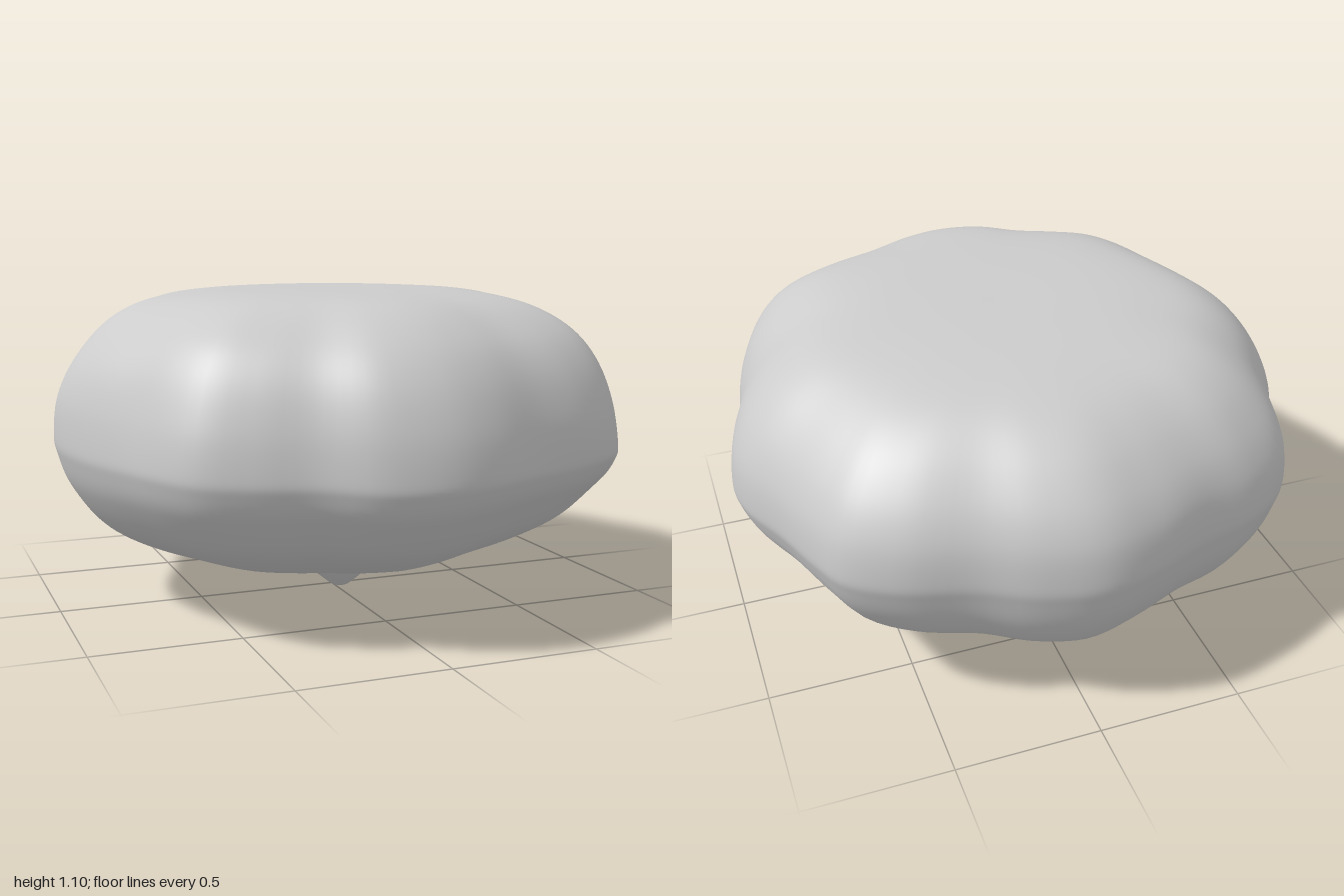
import * as THREE from 'three';
import { mergeVertices } from 'three/addons/utils/BufferGeometryUtils.js';

const SEGMENTS = 144;

// Lobed outline seen from above, as [x, z], from the front round past +x
const OUTLINE = [
  [0, 1], [0.17, 0.97], [0.36, 0.89], [0.6, 0.8], [0.78, 0.67], [0.86, 0.48],
  [0.9, 0.25], [0.96, 0.06], [0.985, -0.1], [0.965, -0.22], [0.88, -0.4],
  [0.81, -0.58], [0.75, -0.7], [0.6, -0.8], [0.38, -0.87], [0.2, -0.96],
  [0, -1], [-0.2, -0.95], [-0.4, -0.87], [-0.6, -0.81], [-0.77, -0.68],
  [-0.87, -0.42], [-0.96, -0.22], [-0.99, 0], [-0.95, 0.2], [-0.86, 0.42],
  [-0.78, 0.6], [-0.7, 0.71], [-0.55, 0.79], [-0.38, 0.85], [-0.2, 0.96],
];

// Profile from the tip of the nub, over the flank, to the top centre: [radius, y]
const PROFILE = [
  [0, 0], [0.03, 0.005], [0.07, 0.035], [0.12, 0.08], [0.18, 0.12], [0.26, 0.14],
  [0.4, 0.15], [0.6, 0.18], [0.75, 0.235], [0.86, 0.31], [0.95, 0.43],
  [0.99, 0.53], [1, 0.6], [0.98, 0.73], [0.92, 0.86], [0.82, 0.97],
  [0.68, 1.05], [0.5, 1.085], [0.25, 1.097], [0, 1.097],
];

function createBody() {
  const profile = new THREE.SplineCurve(PROFILE.map(([r, y]) => new THREE.Vector2(r, y))).getPoints(120);
  profile.forEach((p) => { p.x = Math.max(0, p.x); p.y = Math.max(0, p.y); });
  profile[0].x = profile[profile.length - 1].x = 0;

  const outline = new THREE.CatmullRomCurve3(
    OUTLINE.map(([x, z]) => new THREE.Vector3(x, 0, z)), true,
  ).getSpacedPoints(SEGMENTS);

  const geometry = new THREE.LatheGeometry(profile, SEGMENTS);
  const position = geometry.attributes.position;
  const rows = profile.length;

  for (let i = 0; i < position.count; i++) {
    const edge = outline[Math.floor(i / rows) % SEGMENTS];
    const { x: r, y } = profile[i % rows];
    const reach = Math.hypot(edge.x, edge.z);

    // Lobes fade out towards the middle of the top and underside
    const lobe = THREE.MathUtils.smoothstep(r, 0.25, 0.85);
    const scale = r * THREE.MathUtils.lerp(0.96 / reach, 1, lobe);
    let x = edge.x * scale;
    let z = edge.z * scale;

    // Underside rises to the left and front; the girth sits lower at the front
    const under = 1 - THREE.MathUtils.smoothstep(y, 0.3, 0.65);
    const lift = THREE.MathUtils.smoothstep(r, 0.2, 0.7) * under;
    let height = y + lift * (0.06 * Math.max(0, x) + 0.03 * z);
    height -= 0.035 * z * THREE.MathUtils.smoothstep(y, 0.3, 0.6)
      * (1 - THREE.MathUtils.smoothstep(y, 0.65, 0.95));

    // Nub is slightly off centre
    const nub = 1 - THREE.MathUtils.smoothstep(y, 0.05, 0.15);
    x += 0.02 * nub;
    z += 0.03 * nub;

    // Faint unevenness of the skin
    const skin = 0.004 * Math.sin(9 * x + 5 * y) * Math.sin(8 * z - 6 * y) * lobe;
    position.setXYZ(i, x * (1 + skin), height + skin, z * (1 + skin));
  }

  // Weld the seam and poles so the shading is continuous
  geometry.deleteAttribute('normal');
  geometry.deleteAttribute('uv');
  const welded = mergeVertices(geometry, 1e-4);
  welded.computeVertexNormals();
  return welded;
}

export function createModel() {
  const model = new THREE.Group();
  model.name = 'lobedFruit';
  const material = new THREE.MeshStandardMaterial({ color: 0xcccccc });
  const body = new THREE.Mesh(createBody(), material);
  body.name = 'bodyWithNub';
  model.add(body);
  return model;
}
